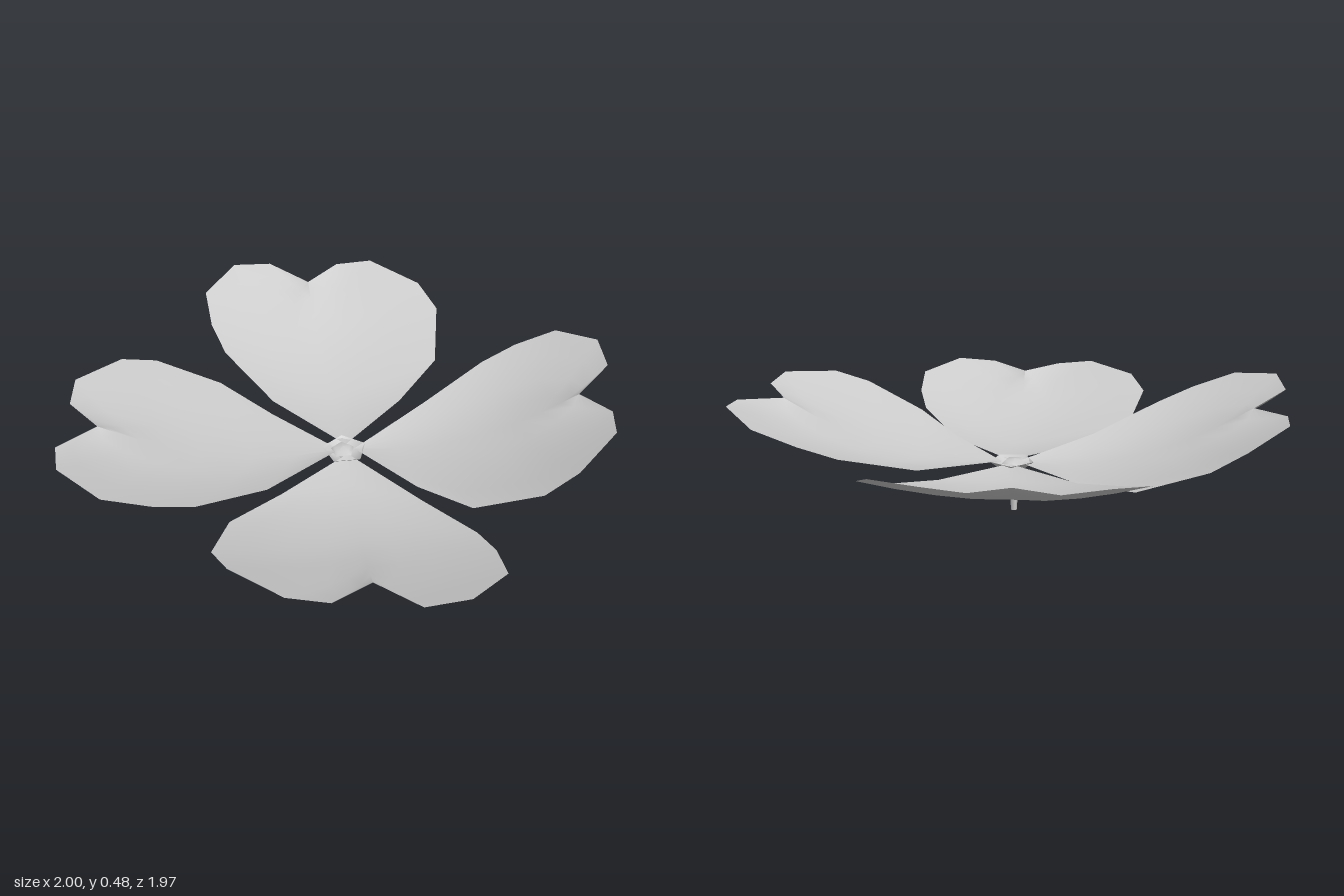
import * as THREE from 'three';

// Matching stations from leaf base to notch: midrib [along, height], both edges [along, across, height]
const RIB = [[0.03, 0.2], [0.2, 0.187], [0.36, 0.193], [0.55, 0.232], [0.68, 0.278], [0.78, 0.325], [0.86, 0.367], [0.93, 0.405]];
const EDGE_A = [[0.03, 0, 0.2], [0.26, 0.27, 0.208], [0.45, 0.466, 0.253], [0.70, 0.53, 0.348],
  [0.835, 0.477, 0.4], [1.01, 0.295, 0.433], [1.03, 0.145, 0.42], [0.93, 0, 0.405]];
const EDGE_B = [[0.03, 0, 0.2], [0.335, -0.247, 0.223], [0.605, -0.41, 0.302], [0.75, -0.45, 0.353],
  [0.92, -0.455, 0.41], [1.065, -0.31, 0.448], [1.075, -0.15, 0.43], [0.93, 0, 0.405]];

// One heart-shaped cupped leaf, turned by angle and slightly tilted along and across
function leafGeometry({ angle, length, width, pitch, roll }) {
  const K = 4, cols = 2 * K + 1, last = RIB.length - 1, pos = [], index = [];
  const a = THREE.MathUtils.degToRad(angle), ax = Math.cos(a), az = -Math.sin(a);
  RIB.forEach(([ribU, ribY], i) => {
    for (let j = 0; j < cols; j++) {
      const [edgeU, edgeV, edgeY] = j <= K ? EDGE_A[i] : EDGE_B[i];
      const t = Math.abs(j - K) / K;
      const u = THREE.MathUtils.lerp(ribU, edgeU, t), v = edgeV * t;
      const y = THREE.MathUtils.lerp(ribY, edgeY, t ** 1.5) + pitch * u + roll * v;
      const du = u * length, dv = v * width;
      pos.push(ax * du - az * dv, y, az * du + ax * dv);
    }
  });
  // The first and last rows each meet in a point
  for (let i = 0; i < last; i++) {
    for (let j = 0; j < cols - 1; j++) {
      const p = i * cols + j, q = p + cols;
      if (i > 0) index.push(p, q, p + 1);
      if (i < last - 1) index.push(q, q + 1, p + 1);
    }
  }
  const g = new THREE.BufferGeometry();
  g.setAttribute('position', new THREE.Float32BufferAttribute(pos, 3));
  g.setIndex(index);
  g.computeVertexNormals();
  return g;
}

const profile = (points) => points.map(([r, y]) => new THREE.Vector2(r, y));

export function createModel() {
  const model = new THREE.Group();
  model.name = 'fourLeafPlant';
  const grey = new THREE.MeshStandardMaterial({ color: 0xcccccc, side: THREE.DoubleSide });
  grey.name = 'pale grey';

  const add = (name, geometry, x = 0, y = 0, z = 0) => {
    const mesh = new THREE.Mesh(geometry, grey);
    mesh.name = name;
    mesh.position.set(x, y, z);
    model.add(mesh);
  };

  // Four leaves
  const leaves = [
    { name: 'backRightLeaf', angle: 128.8, length: 1.01, width: 1.0, pitch: 0.01, roll: 0.01 },
    { name: 'backLeftLeaf', angle: 31.4, length: 0.972, width: 1.0, pitch: 0.03, roll: 0.01 },
    { name: 'frontLeftLeaf', angle: -56.3, length: 0.98, width: 1.015, pitch: -0.063, roll: 0.035 },
    { name: 'frontRightLeaf', angle: 217.2, length: 1.025, width: 1.02, pitch: 0.02, roll: -0.05 },
  ];
  for (const leaf of leaves) add(leaf.name, leafGeometry(leaf));

  // Tapered stem
  add('stem', new THREE.CylinderGeometry(0.021, 0.012, 0.19, 6), -0.015, 0.095, 0.01);

  // Shallow cup under the leaves and a small raised centre
  add('cup', new THREE.LatheGeometry(profile([[0.02, 0.17], [0.055, 0.178], [0.09, 0.205]]), 5), -0.005, 0, 0.01);
  add('centre', new THREE.LatheGeometry(profile([[0.05, 0.196], [0.035, 0.21], [0, 0.214]]), 5), -0.015, 0, 0.01);

  return model;
}
